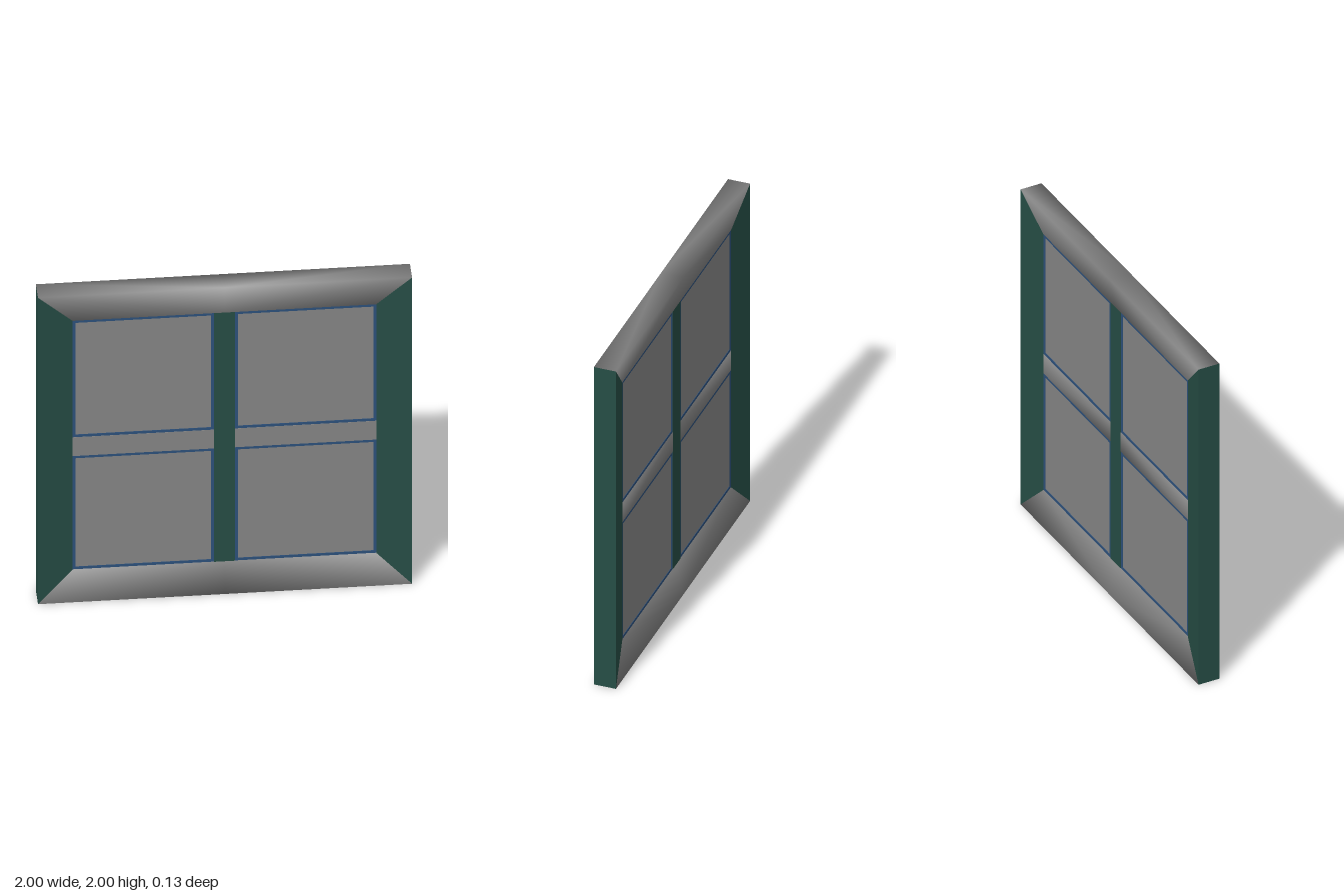
import * as THREE from 'three';

const OUT = 1, INN = 0.812;       // half sizes of the frame outside and of its opening
const DEEP = 0.063, THIN = 0.027; // half depths at the outer and inner frame edges

const grey = new THREE.MeshStandardMaterial({ color: 0x868686, side: THREE.DoubleSide });
const green = new THREE.MeshStandardMaterial({ color: 0x264d45, flatShading: true });
const blue = new THREE.MeshStandardMaterial({ color: 0x2d517c, flatShading: true });

// Bar along x: each [y, z, halfLength] corner is swept through three sections,
// with the triangles of the two halves mirrored
function bar(corners) {
  const pos = [], idx = [], n = corners.length;
  for (const t of [-1, 0, 1]) for (const [y, z, half] of corners) pos.push(t * half, y, z);
  for (let i = 0; i < 2; i++) {
    for (let j = 0; j < n; j++) {
      const k = (j + 1) % n;
      const a = i * n + j, b = a + n, c = (i + 1) * n + k, d = i * n + k;
      if (i === 0) idx.push(a, c, b, a, d, c);
      else idx.push(a, d, b, d, c, b);
    }
  }
  const g = new THREE.BufferGeometry();
  g.setAttribute('position', new THREE.Float32BufferAttribute(pos, 3));
  g.setIndex(idx);
  g.computeVertexNormals();
  return g;
}

export function createModel() {
  const model = new THREE.Group();
  model.name = 'window';
  const add = (name, geometry, material, x = 0, y = 0, z = 0) => {
    const m = new THREE.Mesh(geometry, material);
    m.name = name;
    m.position.set(x, y, z);
    model.add(m);
    return m;
  };

  // Mitred outer frame, tapering in depth towards the opening
  const member = bar([[OUT, DEEP, OUT], [INN, THIN, INN], [INN, -THIN, INN], [OUT, -DEEP, OUT]]);
  ['topRail', 'rightStile', 'bottomRail', 'leftStile'].forEach((name, i) => {
    add(name, member, i % 2 ? green : grey, 0, 1, 0).rotation.z = i * Math.PI / 2;
  });

  // Crossing glazing bars; the doubled corners keep the cross bar's front flat
  const barLow = 0.928, barHigh = 1.05, mullion = 0.056;
  add('mullion', new THREE.BoxGeometry(2 * mullion, 2 * INN, 2 * THIN), green, 0, 1, 0);
  const h = (barHigh - barLow) / 2, d = 0.026;
  const front = [[h, d, INN], [-h, d, INN]];
  add('crossBar', bar([...front, front[1], [-h, -d, INN], [h, -d, INN], front[0]]), grey,
    0, (barLow + barHigh) / 2, 0);

  // Four panes, each in a narrow bead
  const bead = 0.016, beadDepth = 0.049, paneDepth = 0.044;
  const rect = (P, w, hh) => {
    const p = new P();
    p.moveTo(-w / 2, -hh / 2);
    p.lineTo(w / 2, -hh / 2);
    p.lineTo(w / 2, hh / 2);
    p.lineTo(-w / 2, hh / 2);
    p.closePath();
    return p;
  };
  for (const [row, y0, y1] of [['lower', 1 - INN, barLow], ['upper', barHigh, 1 + INN]]) {
    for (const [side, s] of [['Left', 1], ['Right', -1]]) {
      const w = INN - mullion, hh = y1 - y0;
      const x = s * (INN + mullion) / 2, y = (y0 + y1) / 2;
      const shape = rect(THREE.Shape, w, hh);
      shape.holes.push(rect(THREE.Path, w - 2 * bead, hh - 2 * bead));
      add(row + side + 'Bead', new THREE.ExtrudeGeometry(shape, { depth: beadDepth, bevelEnabled: false }),
        blue, x, y, -beadDepth / 2);
      add(row + side + 'Pane', new THREE.BoxGeometry(w - 2 * bead, hh - 2 * bead, paneDepth), grey, x, y, 0);
    }
  }
  return model;
}
